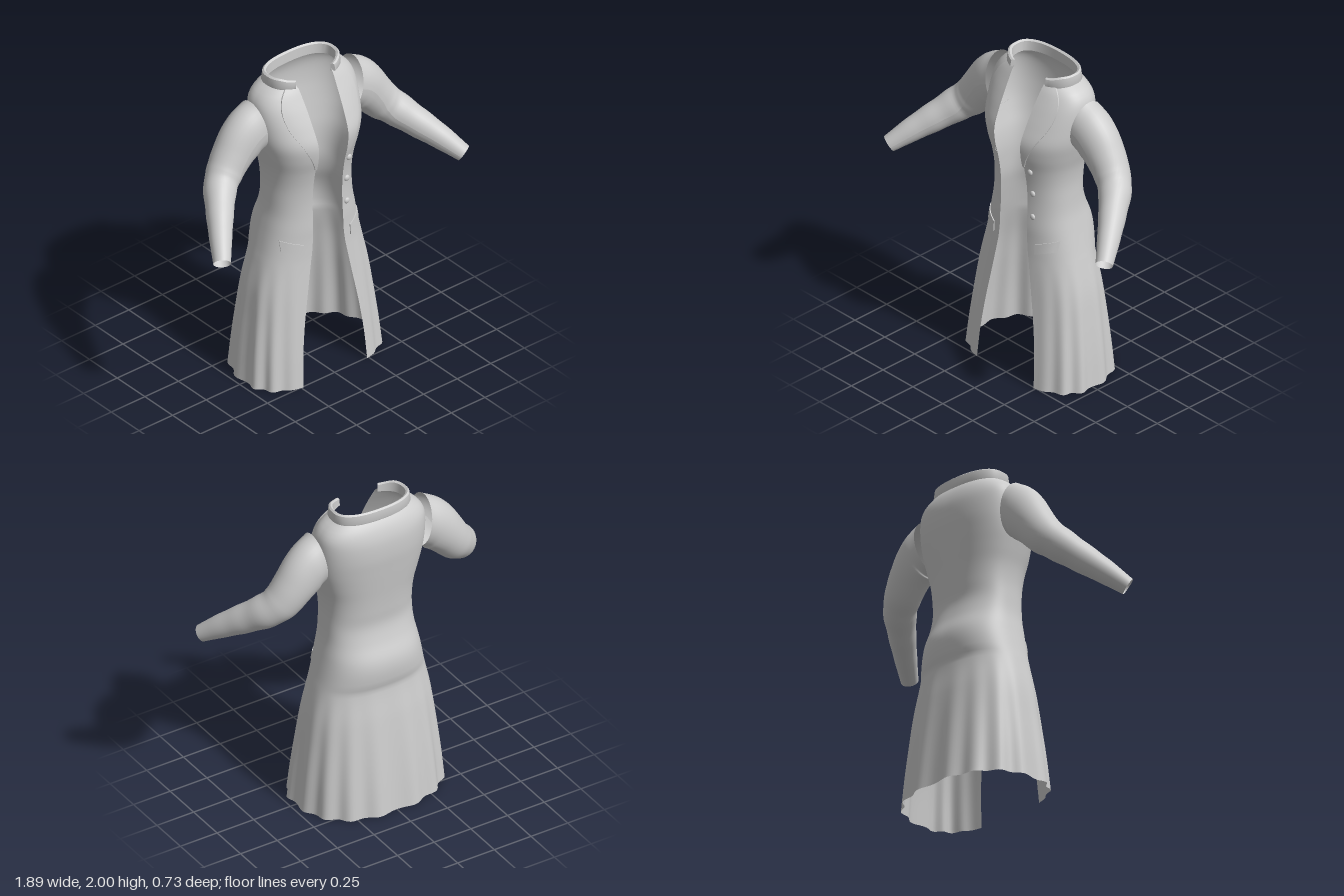
import * as THREE from 'three';
import { toCreasedNormals } from 'three/addons/utils/BufferGeometryUtils.js';

const cloth = new THREE.MeshStandardMaterial({ color: 0xcccccc, side: THREE.DoubleSide });
cloth.name = 'grey cloth';

// Coat profile by height: y, half width, front z, back z, half opening, z of the widest point
const PROFILE = [
  [0, 0.465, 0.28, -0.365, 0.237, 0.02],
  [0.2, 0.448, 0.262, -0.343, 0.225, 0.01],
  [0.4, 0.425, 0.242, -0.318, 0.2, 0],
  [0.6, 0.397, 0.222, -0.29, 0.165, -0.01],
  [0.8, 0.352, 0.205, -0.258, 0.13, -0.02],
  [0.84, 0.342, 0.203, -0.268, 0.123, -0.02],
  [0.93, 0.322, 0.2, -0.275, 0.114, -0.02],
  [1.0, 0.307, 0.2, -0.265, 0.112, -0.02],
  [1.1, 0.288, 0.196, -0.225, 0.11, -0.02],
  [1.2, 0.281, 0.195, -0.2, 0.11, -0.02],
  [1.3, 0.28, 0.202, -0.205, 0.11, -0.02],
  [1.4, 0.292, 0.218, -0.214, 0.11, -0.02],
  [1.5, 0.318, 0.24, -0.226, 0.112, -0.025],
  [1.6, 0.342, 0.243, -0.238, 0.115, -0.03],
  [1.7, 0.352, 0.205, -0.248, 0.12, -0.04],
  [1.8, 0.352, 0.155, -0.246, 0.124, -0.05],
  [1.86, 0.338, 0.122, -0.232, 0.127, -0.06],
  [1.91, 0.298, 0.095, -0.208, 0.13, -0.06],
  [1.945, 0.24, 0.075, -0.18, 0.132, -0.06],
];
const POWER = 2.4;

// Smooth interpolation of rows whose first entry is the key
function sample(rows, key) {
  let i = 0;
  while (i < rows.length - 2 && key > rows[i + 1][0]) i++;
  const slope = (k, c) => {
    const a = rows[Math.max(k - 1, 0)], b = rows[Math.min(k + 1, rows.length - 1)];
    return (b[c] - a[c]) / (b[0] - a[0]);
  };
  const a = rows[i], b = rows[i + 1], h = b[0] - a[0];
  const t = THREE.MathUtils.clamp((key - a[0]) / h, 0, 1), t2 = t * t, t3 = t2 * t;
  return a.map((v, c) => (2 * t3 - 3 * t2 + 1) * v + (t3 - 2 * t2 + t) * h * slope(i, c)
    + (3 * t2 - 2 * t3) * b[c] + (t3 - t2) * h * slope(i + 1, c));
}

// Surface patch: u runs to the right and v upward as seen from outside
function grid(nu, nv, point) {
  const pos = [], index = [];
  for (let j = 0; j <= nv; j++)
    for (let i = 0; i <= nu; i++) pos.push(...point(i / nu, j / nv));
  for (let j = 0; j < nv; j++)
    for (let i = 0; i < nu; i++) {
      const a = j * (nu + 1) + i, b = a + 1, c = a + nu + 1, d = c + 1;
      index.push(a, b, d, a, d, c);
    }
  const g = new THREE.BufferGeometry();
  g.setAttribute('position', new THREE.Float32BufferAttribute(pos, 3));
  g.setIndex(index);
  g.computeVertexNormals();
  return g;
}

// Mirrored patch for the side s = +1 or -1
function sided(s, nu, nv, point) {
  return grid(nu, nv, (u, v) => {
    const [x, y, z] = point(s > 0 ? u : 1 - u, v);
    return [s * x, y, z];
  });
}

// Point on a rounded section, angle 0 at the front and PI at the back
function section(W, F, B, zc, a, grow = 0) {
  const s = Math.sin(a), c = Math.cos(a), e = 2 / POWER;
  const x = (W + grow) * Math.sign(s) * Math.abs(s) ** e;
  const z = zc + (c > 0 ? F - zc + grow : -(zc - B + grow)) * Math.abs(c) ** e * Math.abs(Math.sign(c));
  return [x, c > 0 ? z : zc - (zc - B + grow) * Math.abs(c) ** e];
}
const startAngle = (W, O) => Math.asin(Math.min(1, (O / W) ** (POWER / 2)));

function bodyPoint(u, y) {
  const [, W, F, B, O, zc] = sample(PROFILE, y);
  const a0 = startAngle(W, O), a = a0 + u * (2 * Math.PI - 2 * a0);
  // Folds deepen toward the hem
  const fold = Math.max(0, 0.8 - y) / 0.8 * -0.011 * Math.cos(16 * a) * Math.min(1, u * 12, (1 - u) * 12);
  const [x, z] = section(W, F, B, zc, a, fold);
  return [x, y, z];
}

// Point lying on the front of the coat, raised by lift
function frontPoint(x, y, lift) {
  const [, W, F, , , zc] = sample(PROFILE, y);
  const k = Math.max(0, 1 - (x / W) ** POWER) ** (1 / POWER);
  return [x + lift * 0.3 * x / W, y, zc + (F - zc) * k + lift];
}

// Sleeve path: key, x, y, z, radius across, radius in height
const SLEEVE = [
  [0, 0.355, 1.715, -0.045, 0.122, 0.165],
  [0.12, 0.42, 1.675, -0.05, 0.124, 0.157],
  [0.3, 0.51, 1.575, -0.05, 0.116, 0.13],
  [0.45, 0.585, 1.485, -0.035, 0.106, 0.115],
  [0.56, 0.65, 1.425, 0.005, 0.098, 0.104],
  [0.7, 0.735, 1.342, 0.105, 0.082, 0.09],
  [0.85, 0.82, 1.258, 0.215, 0.067, 0.073],
  [1, 0.9, 1.17, 0.325, 0.051, 0.052],
];
function sleevePoint(u, v) {
  const [, x, y, z, rx, ry] = sample(SLEEVE, v);
  const p = sample(SLEEVE, Math.max(0, v - 0.03)), q = sample(SLEEVE, Math.min(1, v + 0.03));
  const dir = new THREE.Vector3(q[1] - p[1], q[2] - p[2], q[3] - p[3]).normalize();
  // The shoulder opening stands almost upright
  const w = THREE.MathUtils.smoothstep(v, 0, 0.3);
  dir.lerp(new THREE.Vector3(1, -0.17, 0), 1 - w).normalize();
  const across = new THREE.Vector3().crossVectors(dir, new THREE.Vector3(0, 1, 0)).normalize();
  const up = new THREE.Vector3().crossVectors(across, dir);
  const a = u * 2 * Math.PI;
  const crease = 1 + 0.025 * Math.sin(v * 45) * THREE.MathUtils.smoothstep(v, 0.4, 0.55) * (1 - v) * 2;
  const o = across.multiplyScalar(Math.cos(a) * rx * crease).addScaledVector(up, Math.sin(a) * ry * crease);
  return [x + o.x, y + o.y, z + o.z];
}

// Lapel outer edge: y, x
const LAPEL = [[1.43, 0.118], [1.5, 0.145], [1.6, 0.195], [1.7, 0.245], [1.77, 0.264],
  [1.84, 0.262], [1.9, 0.235], [1.94, 0.195]];

// Stand collar cross-section: outward offset, height
const COLLAR = [[0.008, 1.925], [0.014, 1.94], [0.008, 1.992], [-0.002, 2], [-0.014, 1.992],
  [-0.016, 1.93], [0.008, 1.925]];

export function createModel() {
  const coat = new THREE.Group();
  coat.name = 'longCoat';
  const add = (name, geometry) => {
    const m = new THREE.Mesh(geometry, cloth);
    m.name = name;
    coat.add(m);
    return m;
  };

  // Open-fronted body and skirt
  add('coatBody', grid(128, 90, (u, v) => bodyPoint(u, v * 1.945)));

  // Stand collar, closed at both ends
  const n = 60, a0 = startAngle(0.243, 0.138);
  const collar = grid(n, COLLAR.length - 1, (u, v) => {
    const k = Math.round(v * (COLLAR.length - 1)), i = Math.round(u * n);
    const end = i === 0 || i === n;
    const uu = THREE.MathUtils.clamp((i - 1) / (n - 2), 0, 1);
    const [off, h] = end ? [-0.002, 1.955] : COLLAR[k];
    const drop = 0.02 * (1 - THREE.MathUtils.smoothstep(Math.min(uu, 1 - uu), 0, 0.12));
    const y = h - drop * Math.max(0, (h - 1.93) / 0.07);
    const [x, z] = section(0.243, 0.085, -0.182, -0.06, a0 + uu * (2 * Math.PI - 2 * a0), off);
    return [x, y, z];
  });
  add('collar', toCreasedNormals(collar, 0.7));

  for (const s of [1, -1]) {
    const side = s > 0 ? 'left' : 'right';

    // Sleeve, open at shoulder and cuff
    add(side + 'Sleeve', sided(s, 32, 44, (u, v) => sleevePoint(u, 1 - v)));

    // Lapel with a turned-down outer edge
    add(side + 'Lapel', toCreasedNormals(sided(s, 9, 26, (u, v) => {
      const y = 1.43 + v * 0.505;
      const inner = sample(PROFILE, y)[4] - 0.002, outer = sample(LAPEL, y)[1];
      const t = Math.min(1, u * 9 / 8);
      return frontPoint(inner + (outer - inner) * t, y, u > 0.95 ? -0.002 : 0.009);
    }), 0.7));

    // Slanted pocket flap
    add(side + 'PocketFlap', toCreasedNormals(sided(s, 8, 4, (u, v) => {
      const i = Math.round(u * 8), j = Math.round(v * 4);
      const x = 0.17 + 0.118 * THREE.MathUtils.clamp((i - 1) / 6, 0, 1);
      const y = 0.85 + (x - 0.17) * 0.32 + 0.065 * THREE.MathUtils.clamp((j - 1) / 2, 0, 1);
      const rim = i === 0 || i === 8 || j === 0 || j === 4;
      return frontPoint(x, y, rim ? -0.002 : 0.006);
    }), 0.7));
  }

  // Buttons on the left front edge
  for (const y of [1.4, 1.245, 1.09]) {
    const b = add('button', new THREE.SphereGeometry(0.019, 16, 10));
    b.position.set(...frontPoint(0.147, y, 0.004));
    b.scale.z = 0.6;
  }
  return coat;
}
